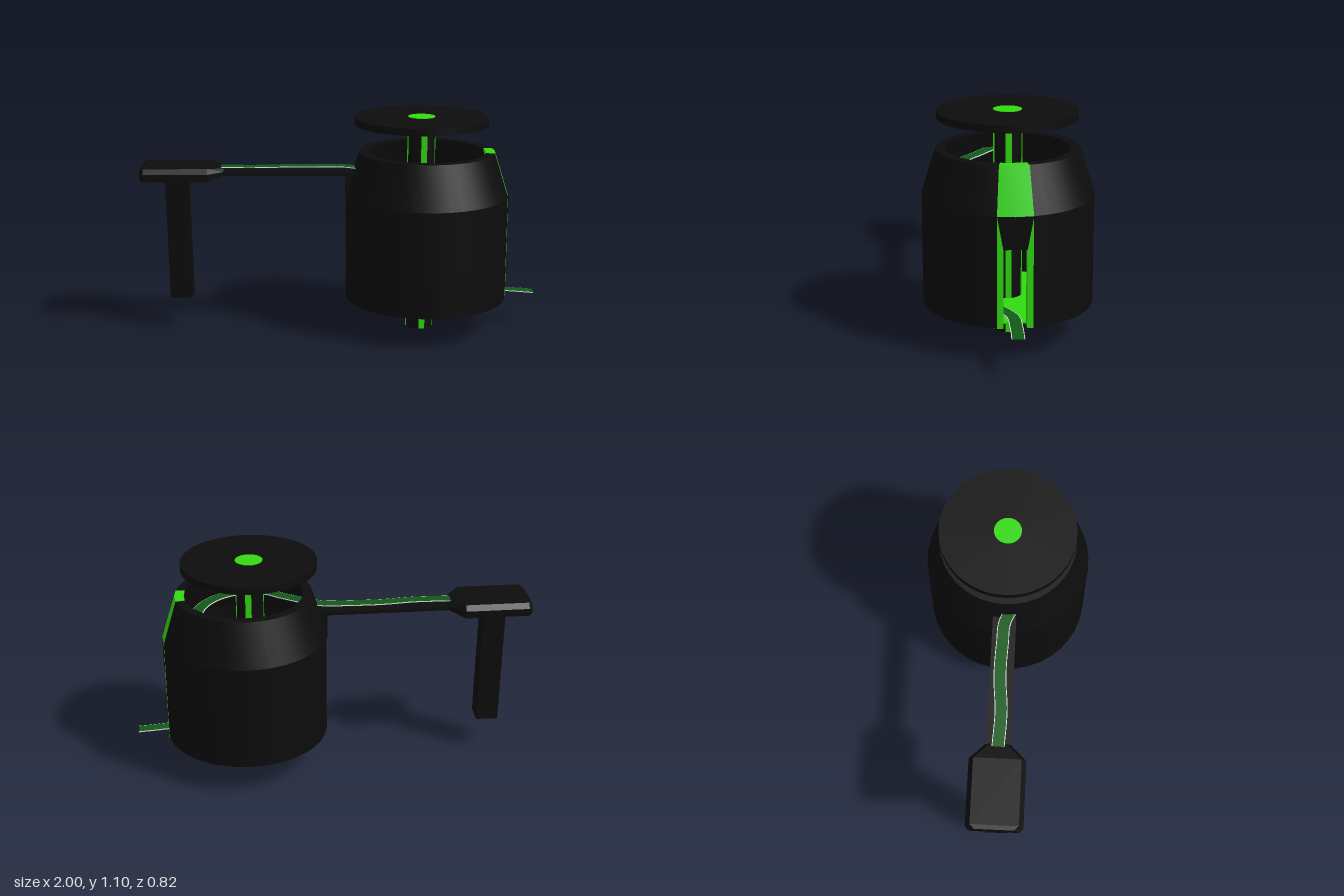
import * as THREE from 'three';
import { toCreasedNormals } from 'three/addons/utils/BufferGeometryUtils.js';
import { ParametricGeometry } from 'three/addons/geometries/ParametricGeometry.js';

const black = new THREE.MeshStandardMaterial({ name: 'black', color: 0x0c0c0c, side: THREE.DoubleSide });
const green = new THREE.MeshStandardMaterial({ name: 'brightGreen', color: 0x32d911 });
const darkGreen = new THREE.MeshStandardMaterial({ name: 'darkGreen', color: 0x115a18, side: THREE.DoubleSide });
const pale = new THREE.MeshStandardMaterial({ name: 'paleEdge', color: 0xd8dcd8, side: THREE.DoubleSide });

const DRUM_X = 0.44, SHAFT_X = 0.41;
const SLOT = 0.204; // half angle of the slot in the drum wall

export function createModel() {
  const model = new THREE.Group();
  model.name = 'feedDrum';

  const add = (name, geometry, material, x = 0, y = 0, z = 0) => {
    const mesh = new THREE.Mesh(geometry, material);
    mesh.name = name;
    mesh.position.set(x, y, z);
    model.add(mesh);
    return mesh;
  };
  const box = (name, material, x0, x1, y0, y1, z0, z1) =>
    add(name, new THREE.BoxGeometry(x1 - x0, y1 - y0, z1 - z0), material,
      (x0 + x1) / 2, (y0 + y1) / 2, (z0 + z1) / 2);
  const lathe = (name, material, profile, segments, start, length) =>
    add(name, toCreasedNormals(new THREE.LatheGeometry(
      profile.map(([r, y]) => new THREE.Vector2(r, y)), segments, start, length), 0.4),
    material, DRUM_X);

  // Drum: slotted cylinder below, open cone above
  const wall = [[0.353, 0.17], [0.412, 0.17], [0.412, 0.705], [0.353, 0.705], [0.353, 0.17]];
  const cone = [[0.353, 0.705], [0.412, 0.705], [0.342, 0.925], [0.295, 0.925], [0.353, 0.705]];
  const start = Math.PI / 2 + SLOT, sweep = 2 * Math.PI - 2 * SLOT;
  lathe('drumWall', black, wall, 36, start, sweep);
  lathe('drumShoulder', black, cone, 36, start, sweep);
  lathe('shoulderPanel', green, cone, 2, Math.PI / 2 - SLOT, 2 * SLOT);
  add('drumFloor', new THREE.CylinderGeometry(0.354, 0.354, 0.008, 36), green, DRUM_X, 0.175);

  // Slot frame and the tapered plate above the slot
  for (const s of [-1, 1]) {
    box('slotFrame', green, 0.79, 0.845, 0.17, 0.705, s * 0.069 - 0.014, s * 0.069 + 0.014);
  }
  const plate = new THREE.Shape([[-0.083, 0.705], [-0.055, 0.55], [0.055, 0.55], [0.083, 0.705]]
    .map(([a, b]) => new THREE.Vector2(a, b)));
  const plateMesh = add('slotPlate',
    new THREE.ExtrudeGeometry(plate, { depth: 0.04, bevelEnabled: false }), black, 0.81);
  plateMesh.rotation.y = Math.PI / 2;

  // Central shaft, its stripes and the top disc
  add('shaft', new THREE.CylinderGeometry(0.068, 0.068, 1.07, 24), black, SHAFT_X, 0.535);
  for (let i = 0; i < 4; i++) {
    const a = i * Math.PI / 2;
    const shift = i % 2 ? 0 : 0.01;
    const stripe = add('shaftStripe', new THREE.BoxGeometry(0.03, 1.064, 0.006), green,
      SHAFT_X + shift + Math.sin(a) * 0.0665, 0.534, Math.cos(a) * 0.0665);
    stripe.rotation.y = a;
  }
  add('topDisc', new THREE.CylinderGeometry(0.336, 0.336, 0.036, 48), black, SHAFT_X, 1.082);
  add('discCentre', new THREE.CylinderGeometry(0.068, 0.068, 0.004, 24), green, SHAFT_X, 1.101);

  // Arm and the block where it meets the drum
  box('arm', black, -0.62, 0.08, 0.81, 0.826, -0.058, 0.058);
  box('armMount', black, 0.028, 0.11, 0.68, 0.826, -0.055, 0.055);

  // Head at the end of the arm: cross-sections [x, half depth, bottom, top]
  const sections = [[-1, 0.115, 0.803, 0.85], [-0.98, 0.137, 0.797, 0.859],
    [-0.66, 0.137, 0.797, 0.859], [-0.585, 0.062, 0.812, 0.846]];
  const pos = [], idx = [];
  for (const [x, d, b, t] of sections) {
    const m = b + (t - b) * 0.6, e = d - 0.022;
    for (const [y, z] of [[b, -d], [b, d], [m, d], [t, e], [t, -e], [m, -d]]) pos.push(x, y, z);
  }
  for (let i = 0; i < sections.length - 1; i++) {
    for (let j = 0; j < 6; j++) {
      const a = i * 6 + j, b = i * 6 + (j + 1) % 6;
      idx.push(a, a + 6, b, b, a + 6, b + 6);
    }
  }
  const last = (sections.length - 1) * 6;
  for (let j = 1; j < 5; j++) idx.push(0, j, j + 1, last, last + j + 1, last + j);
  let head = new THREE.BufferGeometry();
  head.setAttribute('position', new THREE.Float32BufferAttribute(pos, 3));
  head.setIndex(idx);
  head = head.toNonIndexed();
  head.computeVertexNormals();
  // Corner order is fixed by checking that the outside faces away from the middle
  add('armHead', head, black);

  // Handle, leaning slightly
  const handle = box('handle', black, -0.874, -0.762, 0.17, 0.81, -0.056, 0.056);
  handle.rotation.z = 0.016;

  // Belt: along the arm, spiralling down in the drum and out through the slot
  const path = [[-0.6, 0], [-0.42, 0.006], [-0.25, -0.008], [-0.08, -0.004], [0.05, 0.008]]
    .map(([x, z]) => new THREE.Vector3(x, 0.848, z));
  const steps = 50;
  for (let i = 2; i < steps - 1; i++) {
    const turn = 2.5 * i / steps;
    const a = Math.PI - turn * 2 * Math.PI;
    const y = turn < 0.5 ? 0.85 - 0.1 * turn
      : turn < 1.5 ? 0.8 - 0.27 * (turn - 0.5) : 0.53 - 0.33 * (turn - 1.5);
    path.push(new THREE.Vector3(DRUM_X + 0.24 * Math.cos(a), y, 0.24 * Math.sin(a)));
  }
  path.push(new THREE.Vector3(0.76, 0.2, 0.01), new THREE.Vector3(0.88, 0.191, -0.002),
    new THREE.Vector3(1, 0.182, 0));
  const curve = new THREE.CatmullRomCurve3(path);
  const up = new THREE.Vector3(0, 1, 0);

  const ribbon = (name, material, from, to, half) => {
    const corners = [[from, -half], [to, -half], [to, half], [from, half], [from, -half]];
    const geometry = new ParametricGeometry((u, v, target) => {
      const [w, h] = corners[Math.round(v * 4)] ?? corners[0];
      const side = curve.getTangentAt(u).cross(up).normalize();
      target.copy(curve.getPointAt(u)).addScaledVector(side, w);
      target.y += h;
    }, 240, 4);
    geometry.deleteAttribute('normal');
    geometry.deleteAttribute('uv');
    add(name, toCreasedNormals(geometry, 0.5), material);
  };
  ribbon('belt', darkGreen, -0.027, 0.027, 0.003);
  ribbon('beltEdge', pale, -0.031, -0.027, 0.002);
  ribbon('beltEdge', pale, 0.027, 0.031, 0.002);

  return model;
}
